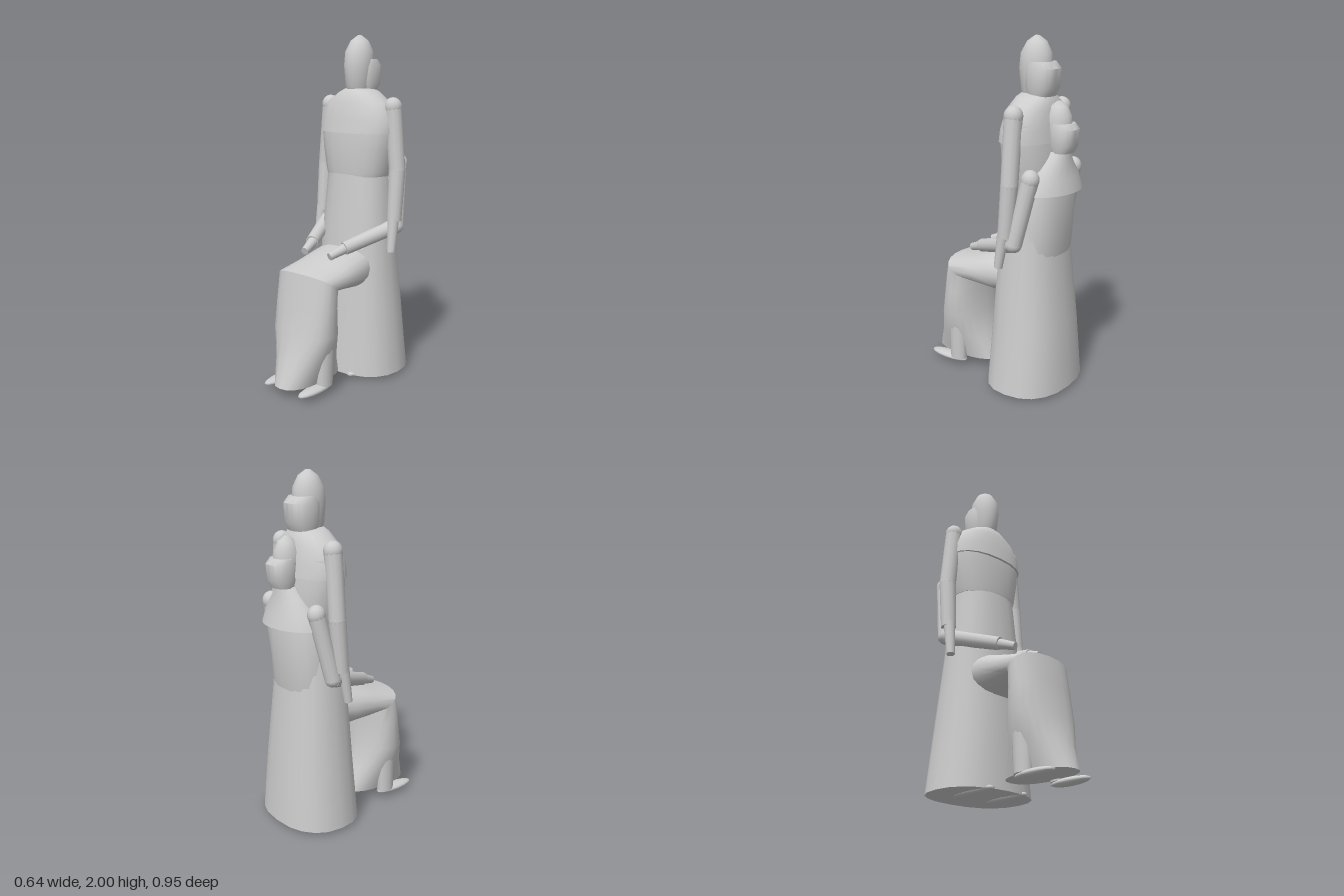
import * as THREE from 'three';
import { toCreasedNormals } from 'three/addons/utils/BufferGeometryUtils.js';

const grey = new THREE.MeshStandardMaterial({ color: 0xcccccc, side: THREE.DoubleSide });
grey.name = 'plain grey';

// Closed skin over elliptical rings [half width, front y, front z, back y, back z], lowest first.
function loft(name, rings, power = 1, sides = 20) {
  const mid = (r) => [0, (r[1] + r[3]) / 2, (r[2] + r[4]) / 2, (r[1] + r[3]) / 2, (r[2] + r[4]) / 2];
  const all = [mid(rings[0]), ...rings, mid(rings[rings.length - 1])];
  const round = (v) => Math.sign(v) * Math.abs(v) ** power;
  const pos = [], index = [];
  for (const [w, ya, za, yb, zb] of all) {
    for (let j = 0; j < sides; j++) {
      const t = (j / sides) * Math.PI * 2, c = round(Math.cos(t)), s = round(Math.sin(t));
      pos.push(w * s, (ya + yb) / 2 + (c * (ya - yb)) / 2, (za + zb) / 2 + (c * (za - zb)) / 2);
    }
  }
  for (let i = 0; i < all.length - 1; i++) {
    for (let j = 0; j < sides; j++) {
      const k = (j + 1) % sides, a = i * sides + j, b = i * sides + k;
      index.push(a, b, b + sides, a, b + sides, a + sides);
    }
  }
  const geo = new THREE.BufferGeometry();
  geo.setAttribute('position', new THREE.Float32BufferAttribute(pos, 3));
  geo.setIndex(index);
  const mesh = new THREE.Mesh(toCreasedNormals(geo, 0.75), grey);
  mesh.name = name;
  return mesh;
}

// Upright skin from level rings [y, half width, front z, back z].
const levels = (name, rows, power) =>
  loft(name, rows.map(([y, w, f, b]) => [w, y, f, y, b]), power);

// Tapered tube between two points.
function tube(name, a, b, ra, rb, flat = 1) {
  const from = new THREE.Vector3(...a), to = new THREE.Vector3(...b), dir = to.clone().sub(from);
  const mesh = new THREE.Mesh(new THREE.CylinderGeometry(rb, ra, dir.length(), 12), grey);
  mesh.position.copy(from).add(to).multiplyScalar(0.5);
  mesh.quaternion.setFromUnitVectors(new THREE.Vector3(0, 1, 0), dir.normalize());
  mesh.scale.set(1, 1, flat);
  mesh.name = name;
  return mesh;
}

function ball(name, p, rx, ry, rz) {
  const mesh = new THREE.Mesh(new THREE.SphereGeometry(1, 14, 10), grey);
  mesh.position.set(...p);
  mesh.scale.set(rx, ry, rz);
  mesh.name = name;
  return mesh;
}

// Domed head with a wider band of hair around the back and sides.
function head(name, top, z, s) {
  const g = new THREE.Group();
  g.name = name;
  g.add(levels('face', [
    [top - 0.32 * s, 0.06 * s, z + 0.075 * s, z - 0.06 * s],
    [top - 0.29 * s, 0.07 * s, z + 0.09 * s, z - 0.07 * s],
    [top - 0.17 * s, 0.082 * s, z + 0.1 * s, z - 0.09 * s],
    [top - 0.09 * s, 0.078 * s, z + 0.09 * s, z - 0.085 * s],
    [top - 0.03 * s, 0.05 * s, z + 0.055 * s, z - 0.055 * s],
    [top, 0.012 * s, z + 0.012 * s, z - 0.012 * s],
  ]));
  g.add(levels('hair', [
    [top - 0.32 * s, 0.08 * s, z + 0.03 * s, z - 0.1 * s],
    [top - 0.27 * s, 0.094 * s, z + 0.045 * s, z - 0.125 * s],
    [top - 0.17 * s, 0.096 * s, z + 0.045 * s, z - 0.13 * s],
    [top - 0.135 * s, 0.085 * s, z + 0.03 * s, z - 0.1 * s],
  ], 0.8));
  return g;
}

function standingFigure() {
  const g = new THREE.Group();
  g.name = 'standingFigure';
  g.add(levels('longSkirt', [
    [0.02, 0.305, 0.01, -0.47], [0.4, 0.265, -0.015, -0.445],
    [0.8, 0.23, -0.04, -0.405], [1.22, 0.195, -0.08, -0.37],
  ], 0.85));
  g.add(levels('bodice', [
    [1.2, 0.2, -0.08, -0.365], [1.23, 0.21, -0.077, -0.37], [1.36, 0.235, -0.075, -0.37],
    [1.48, 0.25, -0.08, -0.36], [1.55, 0.24, -0.09, -0.35],
  ], 0.85));
  g.add(levels('yoke', [
    [1.45, 0.255, -0.062, -0.372], [1.52, 0.252, -0.075, -0.36], [1.62, 0.21, -0.095, -0.345],
    [1.68, 0.12, -0.12, -0.325], [1.7, 0.075, -0.14, -0.31],
  ], 0.9));
  g.add(head('standingHead', 2, -0.22, 1));
  for (const s of [-1, 1]) {
    const arm = new THREE.Group();
    arm.name = s > 0 ? 'leftHangingArm' : 'rightHangingArm';
    const shoulder = [s * 0.235, 1.6, -0.235], elbow = [s * 0.27, 1.24, -0.235], wrist = [s * 0.272, 0.95, -0.21];
    arm.add(ball('shoulder', shoulder, 0.052, 0.055, 0.052));
    arm.add(tube('upperSleeve', shoulder, elbow, 0.05, 0.048));
    arm.add(ball('elbow', elbow, 0.048, 0.05, 0.048));
    arm.add(tube('lowerSleeve', elbow, wrist, 0.048, 0.043));
    arm.add(tube('hand', [s * 0.275, 0.97, -0.2], [s * 0.283, 0.77, -0.17], 0.034, 0.024));
    g.add(arm);
    g.add(ball('standingShoe', [s * 0.12, 0.025, -0.14], 0.045, 0.025, 0.16));
  }
  return g;
}

function seatedFigure() {
  const g = new THREE.Group();
  g.name = 'seatedFigure';
  // Skirt runs from hem up to the knees, then back to the hips
  g.add(loft('seatedSkirt', [
    [0.12, 0.06, 0.47, 0.06, 0.02], [0.165, 0.2, 0.415, 0.2, 0.085],
    [0.21, 0.35, 0.37, 0.35, 0.13], [0.205, 0.52, 0.345, 0.5, 0.14],
    [0.205, 0.695, 0.315, 0.575, 0.145], [0.205, 0.735, 0.14, 0.56, 0.07],
    [0.205, 0.785, -0.03, 0.545, -0.04], [0.18, 0.79, -0.14, 0.56, -0.14],
  ], 0.85));
  g.add(levels('seatedTorso', [
    [0.6, 0.19, -0.08, -0.36], [0.85, 0.2, -0.1, -0.41], [1.18, 0.2, -0.15, -0.43], [1.3, 0.15, -0.2, -0.41],
  ], 0.85));
  g.add(levels('capelet', [
    [1.18, 0.225, -0.17, -0.475], [1.26, 0.19, -0.21, -0.455], [1.34, 0.12, -0.26, -0.435], [1.4, 0.07, -0.29, -0.43],
  ]));
  g.add(head('seatedHead', 1.665, -0.365, 0.85));
  for (const s of [-1, 1]) {
    const arm = new THREE.Group();
    arm.name = s > 0 ? 'leftBentArm' : 'rightBentArm';
    const shoulder = [s * 0.215, 1.27, -0.33], elbow = [s * 0.255, 0.91, -0.255], cuff = [s * 0.125, 0.81, 0.06];
    arm.add(ball('shoulder', shoulder, 0.05, 0.055, 0.05));
    arm.add(tube('upperSleeve', shoulder, elbow, 0.048, 0.045));
    arm.add(ball('elbow', elbow, 0.045, 0.045, 0.045));
    arm.add(tube('lowerSleeve', elbow, cuff, 0.046, 0.038));
    arm.add(tube('hand', [s * 0.128, 0.815, 0.04], [s * 0.095, 0.775, 0.155], 0.032, 0.022));
    g.add(arm);
    g.add(tube('shin', [s * 0.135, 0.05, 0.245], [s * 0.14, 0.55, 0.235], 0.042, 0.05, 1.3));
    const shoe = ball('seatedShoe', [s * 0.132, 0.042, 0.32], 0.043, 0.022, 0.135);
    g.add(shoe);
  }
  return g;
}

export function createModel() {
  const model = new THREE.Group();
  model.name = 'pairOfFigures';
  model.add(standingFigure(), seatedFigure());
  return model;
}
